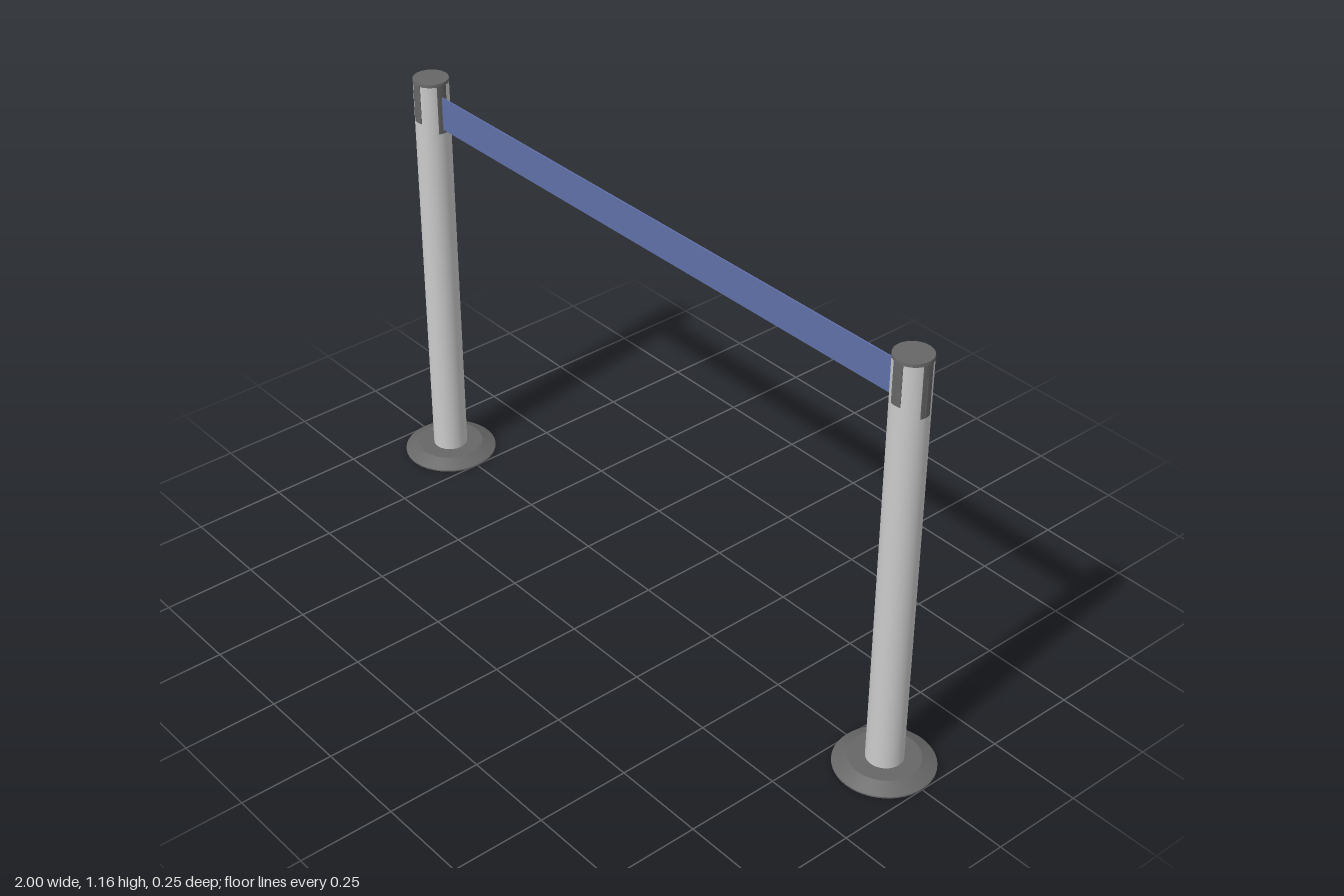
import * as THREE from 'three';

const steel = new THREE.MeshStandardMaterial({ color: 0xcccccc });
const dark = new THREE.MeshStandardMaterial({ color: 0x666666 });
const blue = new THREE.MeshStandardMaterial({ color: 0x5f70a8 });

const POST_X = 0.873, R = 0.047, TOP = 1.16;

function add(parent, name, geometry, material, x = 0, y = 0, z = 0) {
  const mesh = new THREE.Mesh(geometry, material);
  mesh.name = name;
  mesh.position.set(x, y, z);
  parent.add(mesh);
  return mesh;
}

// Curved strip hugging the post, centred on its local +x axis
function curvedStrip(outer, halfAngle, height) {
  const s = new THREE.Shape();
  s.absarc(0, 0, outer, -halfAngle, halfAngle, false);
  s.absarc(0, 0, 0.04, halfAngle, -halfAngle, true);
  return new THREE.ExtrudeGeometry(s, { depth: height, bevelEnabled: false, curveSegments: 8 })
    .rotateX(-Math.PI / 2);
}

// Belt socket on one side of the head; flush ones are a plain cover
function addSocket(post, angle, bottom, flush) {
  const socket = new THREE.Group();
  socket.name = flush ? 'socketCover' : 'beltSocket';
  socket.rotation.y = angle;
  const top = 1.152;
  add(socket, 'socketPlate', curvedStrip(flush ? R + 0.0004 : R + 0.001, 0.3, top - bottom),
    flush ? steel : dark, 0, bottom, 0);
  if (!flush) {
    const h = 1.12 - bottom - 0.005;
    add(socket, 'socketRib', new THREE.CylinderGeometry(0.006, 0.006, h, 16),
      dark, R - 0.004, bottom + 0.005 + h / 2, 0);
  }
  post.add(socket);
}

function makePost(side) {
  const post = new THREE.Group();
  post.name = side > 0 ? 'leftPost' : 'rightPost';
  post.position.x = side * POST_X;

  // Bevelled floor plate, one lathe per smooth band so the edges stay sharp
  const profile = [[0, 0], [0.127, 0], [0.127, 0.004], [0.09, 0.022], [0, 0.022]];
  for (let i = 0; i < profile.length - 1; i++) {
    const band = [profile[i], profile[i + 1]].map(p => new THREE.Vector2(...p));
    add(post, 'base', new THREE.LatheGeometry(band, 48), dark);
  }

  add(post, 'tube', new THREE.CylinderGeometry(R, R, 1.132, 48), steel, 0, 0.02 + 0.566, 0);
  add(post, 'cap', new THREE.CylinderGeometry(R, R + 0.001, 0.008, 48), dark, 0, TOP - 0.004, 0);

  // Sockets: long on the two x sides, short on front and back
  addSocket(post, 0, 1.017, false);
  addSocket(post, Math.PI, 1.017, false);
  addSocket(post, -Math.PI / 2, 1.045, false);
  addSocket(post, Math.PI / 2, 1.045, side > 0);
  return post;
}

export function createModel() {
  const model = new THREE.Group();
  model.name = 'beltBarrier';
  for (const side of [1, -1]) model.add(makePost(side));
  // Belt stretched between the posts
  add(model, 'belt', new THREE.BoxGeometry(2 * (POST_X - R + 0.003), 0.092, 0.004), blue, 0, 1.074, 0);
  return model;
}
